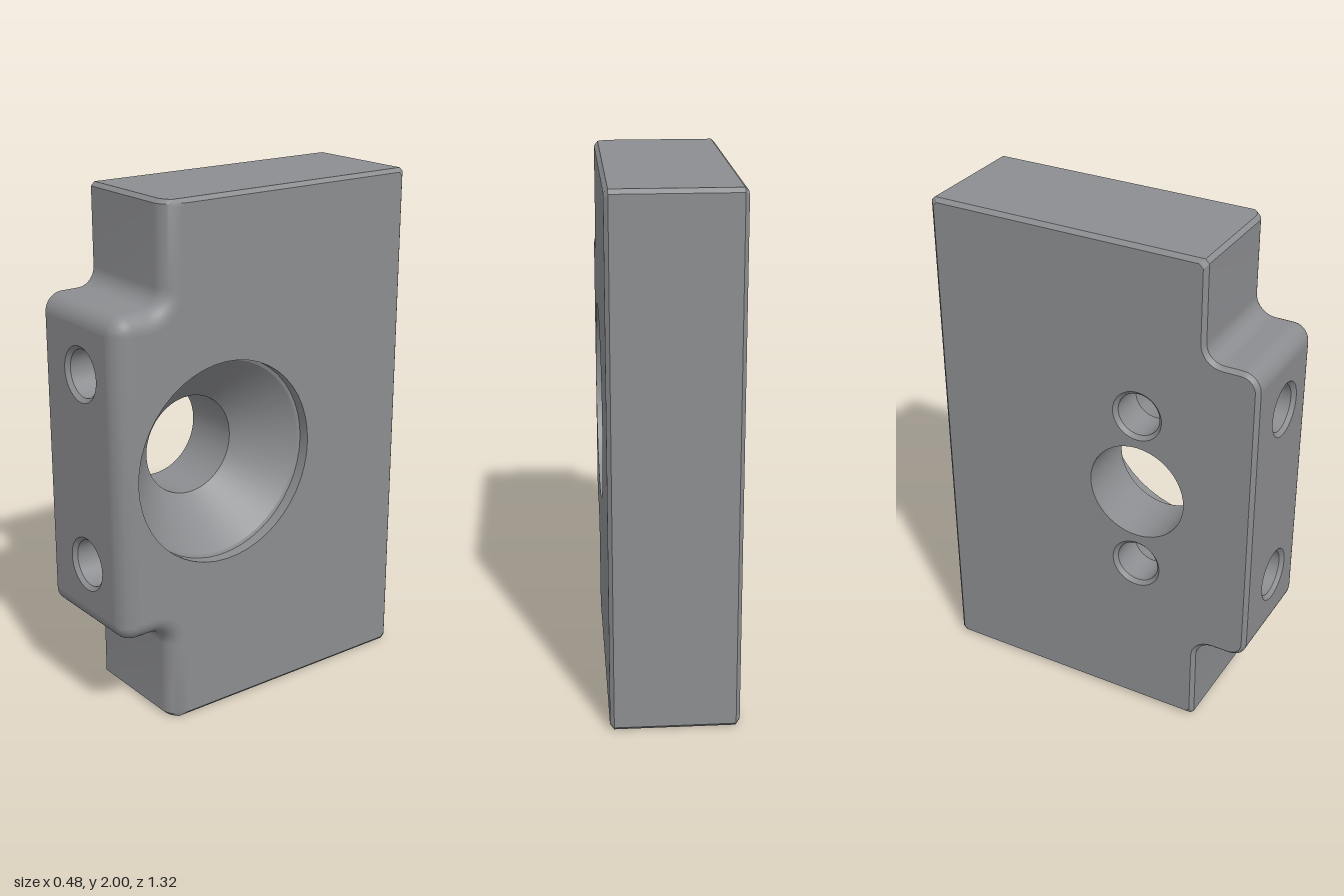
import * as THREE from 'three';
import { toCreasedNormals } from 'three/addons/utils/BufferGeometryUtils.js';

const HALF = 0.24;    // half width in x
const BEVEL = 0.015;  // small edge chamfer
const R = 0.07;       // fillet radius
const BORE_Z = 0.19;  // z of the countersunk hole
const steel = new THREE.MeshStandardMaterial({ color: 0x8c8d90 });
steel.name = 'steel grey';

// Side outline as [z, y], inset by c at top, bottom and back, and by f along the front
function outline(c, f) {
  const half = [
    [-0.66 + c, c + BEVEL], [-0.66 + c + BEVEL, c],
    [0.45 - f - BEVEL, c], [0.45 - f, c + BEVEL],
  ];
  const arc = (z, y, r, from, to) => {
    for (let i = 0; i <= 10; i++) {
      const a = from + (to - from) * i / 10;
      half.push([z + r * Math.cos(a), y + r * Math.sin(a)]);
    }
  };
  arc(0.52, 0.31, R + f, Math.PI, Math.PI / 2);
  arc(0.59, 0.45, R - f, -Math.PI / 2, 0);
  return half.concat(half.map(([z, y]) => [z, 2 - y]).reverse());
}

// Layers across the width: chamfer on one side, rounded front edge on the other
function makeLayers() {
  const layers = [
    { x: -HALF, ring: outline(BEVEL, BEVEL) },
    { x: -HALF + BEVEL, ring: outline(0, 0) },
  ];
  const angles = [];
  for (let i = 0; i <= 10; i++) angles.push(i / 10 * Math.PI / 2);
  angles.push(Math.asin((R - BEVEL) / R)); // layer where the back chamfer starts
  angles.sort((a, b) => a - b);
  for (const a of angles) {
    const x = HALF - R + R * Math.sin(a);
    layers.push({ x, ring: outline(Math.max(0, x - HALF + BEVEL), R * (1 - Math.cos(a))) });
  }
  return layers;
}

// Walls lofted between the layers, leaving out the drilled nose face
function wallGeometry(layers) {
  const n = layers[0].ring.length, pos = [], index = [];
  for (const { x, ring } of layers) for (const [z, y] of ring) pos.push(x, y, z);
  for (let i = 0; i < layers.length - 1; i++) {
    for (let j = 0; j < n; j++) {
      if (i === 1 && j === n / 2 - 1) continue;
      const k = (j + 1) % n;
      const a = i * n + j, b = i * n + k, c = b + n, d = a + n;
      index.push(a, d, c, a, c, b);
    }
  }
  const g = new THREE.BufferGeometry();
  g.setAttribute('position', new THREE.Float32BufferAttribute(pos, 3));
  g.setIndex(index);
  return toCreasedNormals(g, 0.5);
}

// Flat face with round holes given as [u, v, radius]
function drilledFace(points, holes) {
  const shape = new THREE.Shape(points.map(([u, v]) => new THREE.Vector2(u, v)));
  for (const [u, v, r] of holes) {
    shape.holes.push(new THREE.Path().absarc(u, v, r, 0, Math.PI * 2, true));
  }
  return new THREE.ShapeGeometry(shape, 24);
}

// Inside of a hole: [radius, height] from the mouth down, opening towards +y
function bore(profile) {
  const g = new THREE.LatheGeometry(profile.map(([r, h]) => new THREE.Vector2(r, h)), 48);
  return toCreasedNormals(g, 0.4);
}

const blindHole = (r, depth) => bore([
  [r, 0], [r - BEVEL, -BEVEL], [r - BEVEL, -depth], [0, -depth - 0.05],
]);

export function createModel() {
  const model = new THREE.Group();
  model.name = 'clampBlock';
  const add = (name, geometry) => {
    const mesh = new THREE.Mesh(geometry, steel);
    mesh.name = name;
    model.add(mesh);
    return mesh;
  };

  const layers = makeLayers();
  add('bodyWalls', wallGeometry(layers));

  // Plain side with the through hole and two blind holes
  const pinYs = [0.67, 1.33];
  add('plainSide', drilledFace(layers[0].ring,
    [[BORE_Z, 1, 0.195], ...pinYs.map((y) => [BORE_Z, y, 0.1])])
    .rotateY(-Math.PI / 2).translate(-HALF, 0, 0));

  // Countersunk side
  const last = layers[layers.length - 1].ring;
  add('countersunkSide', drilledFace(last.map(([z, y]) => [-z, y]).reverse(), [[-BORE_Z, 1, 0.39]])
    .rotateY(Math.PI / 2).translate(HALF, 0, 0));

  // Nose front face with two blind holes
  const boltYs = [0.63, 1.37];
  const x0 = -HALF + BEVEL, x1 = HALF - R;
  add('noseFace', drilledFace([[x0, 0.45], [x1, 0.45], [x1, 1.55], [x0, 1.55]],
    boltYs.map((y) => [0, y, 0.105])).translate(0, 0, 0.66));

  // Countersunk through hole
  add('countersunkBore', bore([
    [0.39, 0], [0.39, -0.045], [0.378, -0.05], [0.195, -0.24], [0.195, -2 * HALF],
  ]).rotateZ(-Math.PI / 2).translate(HALF, 1, BORE_Z));

  for (const y of boltYs) {
    add('frontHole', blindHole(0.105, 0.25).rotateX(Math.PI / 2).translate(0, y, 0.66));
  }
  for (const y of pinYs) {
    add('sideHole', blindHole(0.1, 0.15).rotateZ(Math.PI / 2).translate(-HALF, y, BORE_Z));
  }
  return model;
}
